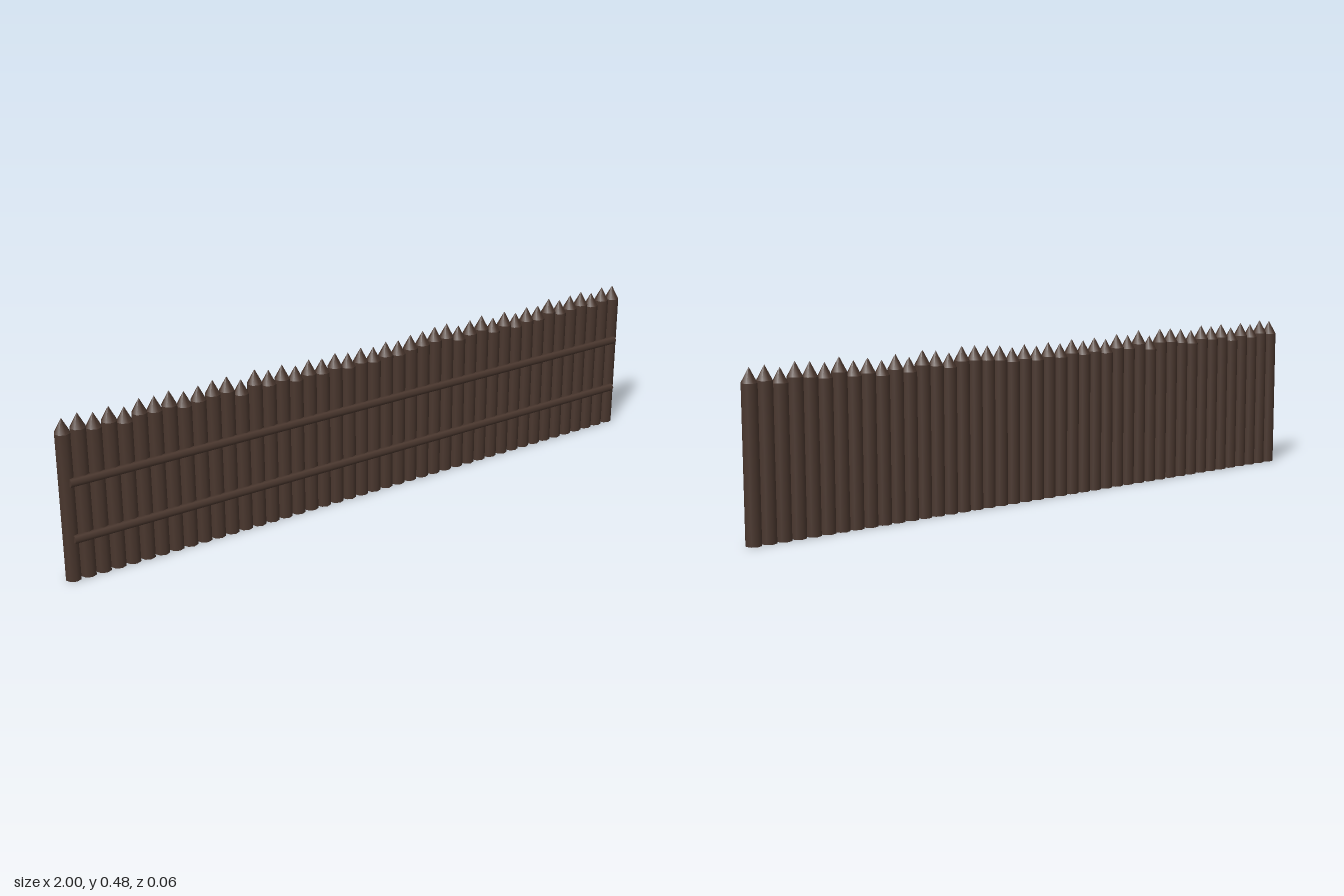
import * as THREE from 'three';

const POSTS = 44;
const RADIUS = 0.0227;
const SIDES = 8;
const TIP = 0.042;
const POST_Z = -0.0065;

// Tip height of each post, in thousandths, from -x to +x
const TIPS = [
  475, 480, 470, 477, 465, 479, 475, 480, 468, 474, 480, 481, 462, 482, 470,
  476, 464, 472, 466, 473, 464, 470, 463, 470, 465, 473, 476, 480, 481, 466,
  474, 480, 464, 475, 462, 472, 468, 482, 470, 476, 480, 468, 478, 475,
];

export function createModel() {
  const wood = new THREE.MeshStandardMaterial({ color: 0x4a372e });
  wood.name = 'dark wood';

  const palisade = new THREE.Group();
  palisade.name = 'palisade';

  const add = (parent, geometry, name, x, y, z) => {
    const mesh = new THREE.Mesh(geometry, wood);
    mesh.name = name;
    mesh.position.set(x, y, z);
    parent.add(mesh);
    return mesh;
  };

  // Row of sharpened posts
  const tipGeometry = new THREE.ConeGeometry(RADIUS, TIP, SIDES, 1, true);
  const pitch = (2 - 2 * RADIUS) / (POSTS - 1);
  for (let i = 0; i < POSTS; i++) {
    const post = new THREE.Group();
    post.name = `post${i + 1}`;
    post.position.set(-1 + RADIUS + i * pitch, 0, POST_Z);
    const height = TIPS[i] / 1000 - TIP;
    add(post, new THREE.CylinderGeometry(RADIUS, RADIUS, height, SIDES), 'shaft', 0, height / 2, 0);
    add(post, tipGeometry, 'pointedTip', 0, height + TIP / 2, 0);
    palisade.add(post);
  }

  // Two rails across the front
  const railGeometry = new THREE.CylinderGeometry(0.0124, 0.0124, 1.955, 6);
  railGeometry.rotateZ(Math.PI / 2);
  add(palisade, railGeometry, 'lowerRail', 0, 0.128, 0.0168);
  add(palisade, railGeometry, 'upperRail', 0, 0.295, 0.0168);

  return palisade;
}
